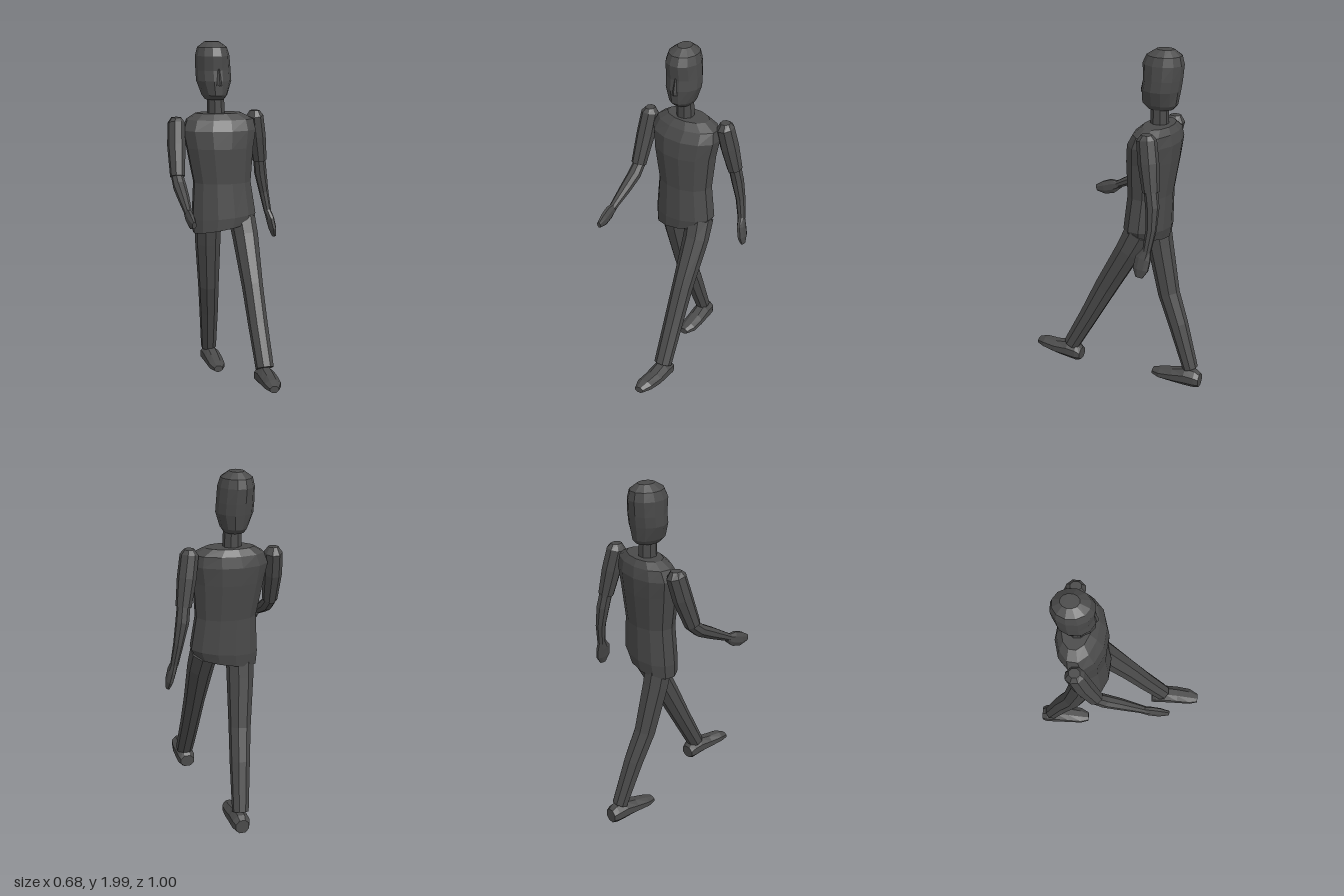
import * as THREE from 'three';

const charcoal = new THREE.MeshStandardMaterial({ color: 0x4a4a4a, flatShading: true });
charcoal.name = 'charcoal';

// Lofts capped elliptical rings along a path.
// Each section is [x, y, z, radiusAlongSide, radiusAcross, optional sideways tilt].
function loft(sections, sides, { axis = null, side = [1, 0, 0] } = {}) {
  const centres = sections.map(s => new THREE.Vector3(s[0], s[1], s[2]));
  const pos = [], index = [], last = sections.length - 1;
  sections.forEach((s, i) => {
    const t = axis ? new THREE.Vector3(...axis)
      : centres[Math.min(i + 1, last)].clone().sub(centres[Math.max(i - 1, 0)]);
    t.normalize();
    const u = new THREE.Vector3(...side);
    u.addScaledVector(t, -u.dot(t)).normalize();
    const v = t.clone().cross(u);
    for (let k = 0; k < sides; k++) {
      const a = (k + 0.5) / sides * Math.PI * 2;
      const p = centres[i].clone()
        .addScaledVector(u, Math.cos(a) * s[3])
        .addScaledVector(v, Math.sin(a) * s[4])
        .addScaledVector(t, Math.cos(a) * (s[5] || 0));
      pos.push(p.x, p.y, p.z);
    }
  });
  for (let i = 0; i < last; i++) {
    for (let k = 0; k < sides; k++) {
      const a = i * sides + k, b = i * sides + (k + 1) % sides;
      index.push(a, b, b + sides, a, b + sides, a + sides);
    }
  }
  const top = last * sides;
  for (let k = 1; k < sides - 1; k++) {
    index.push(0, k + 1, k, top, top + k, top + k + 1);
  }
  const g = new THREE.BufferGeometry();
  g.setAttribute('position', new THREE.Float32BufferAttribute(pos, 3));
  g.setIndex(index);
  g.computeVertexNormals();
  return g;
}

export function createModel() {
  const model = new THREE.Group();
  model.name = 'walkingFigure';
  const add = (name, sections, sides, options) => {
    const mesh = new THREE.Mesh(loft(sections, sides, options), charcoal);
    mesh.name = name;
    model.add(mesh);
  };
  const up = { axis: [0, 1, 0] };
  const forward = { axis: [0, 0, 1] };

  // Torso, turned slightly with the stride
  add('torso', [
    [-0.025, 0.935, -0.165, 0.175, 0.115, 0.03],
    [-0.015, 1.0, -0.17, 0.19, 0.123, 0.015],
    [-0.022, 1.2, -0.18, 0.17, 0.118],
    [-0.032, 1.4, -0.19, 0.197, 0.137],
    [-0.032, 1.5, -0.2, 0.216, 0.135],
    [-0.025, 1.56, -0.212, 0.198, 0.11],
    [-0.03, 1.595, -0.22, 0.135, 0.078],
  ], 12, { axis: [0, 1, 0], side: [0.99, 0, 0.12] });

  // Neck and head
  add('neck', [
    [-0.046, 1.56, -0.215, 0.052, 0.052],
    [-0.048, 1.7, -0.213, 0.048, 0.05],
  ], 8, up);
  add('head', [
    [-0.055, 1.675, -0.215, 0.055, 0.075],
    [-0.056, 1.7, -0.212, 0.072, 0.1],
    [-0.058, 1.78, -0.217, 0.1, 0.108],
    [-0.06, 1.84, -0.225, 0.1, 0.108],
    [-0.064, 1.92, -0.225, 0.097, 0.115],
    [-0.064, 1.968, -0.23, 0.084, 0.098],
    [-0.064, 2.0, -0.235, 0.04, 0.05],
  ], 12, up);
  add('nose', [
    [-0.055, 1.755, -0.122, 0.018, 0.022],
    [-0.055, 1.775, -0.122, 0.015, 0.022],
    [-0.055, 1.85, -0.13, 0.008, 0.012],
  ], 6, up);

  // Arms: left hangs behind, right swings forward
  const upperArm = (name, a, m, b) => add(name, [
    [a[0], a[1], a[2], 0.028, 0.032],
    [a[0], a[1] - 0.03, a[2], 0.05, 0.056],
    [...m, 0.052, 0.058],
    [...b, 0.043, 0.046],
  ], 8);
  upperArm('leftUpperArm', [0.195, 1.6, -0.235], [0.215, 1.45, -0.255], [0.24, 1.3, -0.28]);
  upperArm('rightUpperArm', [-0.28, 1.575, -0.22], [-0.29, 1.42, -0.185], [-0.3, 1.25, -0.12]);
  add('leftForearm', [
    [0.235, 1.34, -0.275, 0.036, 0.038],
    [0.252, 1.22, -0.295, 0.037, 0.038],
    [0.275, 1.1, -0.298, 0.028, 0.03],
    [0.295, 0.98, -0.282, 0.022, 0.024],
  ], 8);
  add('leftHand', [
    [0.293, 0.99, -0.283, 0.02, 0.024],
    [0.305, 0.94, -0.265, 0.022, 0.046],
    [0.318, 0.88, -0.257, 0.02, 0.046],
    [0.327, 0.835, -0.252, 0.011, 0.022],
  ], 8);
  add('rightForearm', [
    [-0.3, 1.26, -0.14, 0.034, 0.036],
    [-0.3, 1.2, -0.07, 0.038, 0.038],
    [-0.302, 1.155, 0.02, 0.033, 0.034],
    [-0.308, 1.09, 0.15, 0.021, 0.022],
  ], 8);
  add('rightHand', [
    [-0.308, 1.092, 0.13, 0.02, 0.022],
    [-0.31, 1.075, 0.18, 0.022, 0.045],
    [-0.31, 1.058, 0.235, 0.021, 0.042],
    [-0.31, 1.05, 0.285, 0.012, 0.02],
  ], 8);

  // Legs: left strides forward, right trails
  add('leftLeg', [
    [0.09, 0.99, -0.155, 0.078, 0.085],
    [0.097, 0.88, -0.1, 0.075, 0.077],
    [0.095, 0.62, 0.045, 0.06, 0.068],
    [0.095, 0.42, 0.15, 0.056, 0.058],
    [0.097, 0.2, 0.27, 0.052, 0.05],
  ], 8);
  add('rightLeg', [
    [-0.105, 0.98, -0.185, 0.078, 0.08],
    [-0.1, 0.84, -0.212, 0.075, 0.075],
    [-0.08, 0.56, -0.275, 0.062, 0.064],
    [-0.06, 0.38, -0.345, 0.057, 0.058],
    [-0.037, 0.115, -0.435, 0.047, 0.045],
  ], 8);

  // Shoes, from heel to toe
  add('leftShoe', [
    [0.095, 0.14, 0.207, 0.045, 0.036],
    [0.097, 0.15, 0.235, 0.054, 0.056],
    [0.097, 0.157, 0.29, 0.054, 0.055],
    [0.094, 0.157, 0.37, 0.054, 0.043],
    [0.084, 0.163, 0.45, 0.05, 0.034],
    [0.076, 0.158, 0.5, 0.028, 0.02],
  ], 8, forward);
  add('rightShoe', [
    [-0.03, 0.052, -0.498, 0.042, 0.042],
    [-0.03, 0.058, -0.47, 0.053, 0.055],
    [-0.03, 0.062, -0.41, 0.054, 0.058],
    [-0.03, 0.055, -0.33, 0.054, 0.045],
    [-0.034, 0.048, -0.25, 0.05, 0.033],
    [-0.04, 0.045, -0.2, 0.028, 0.02],
  ], 8, forward);

  return model;
}
